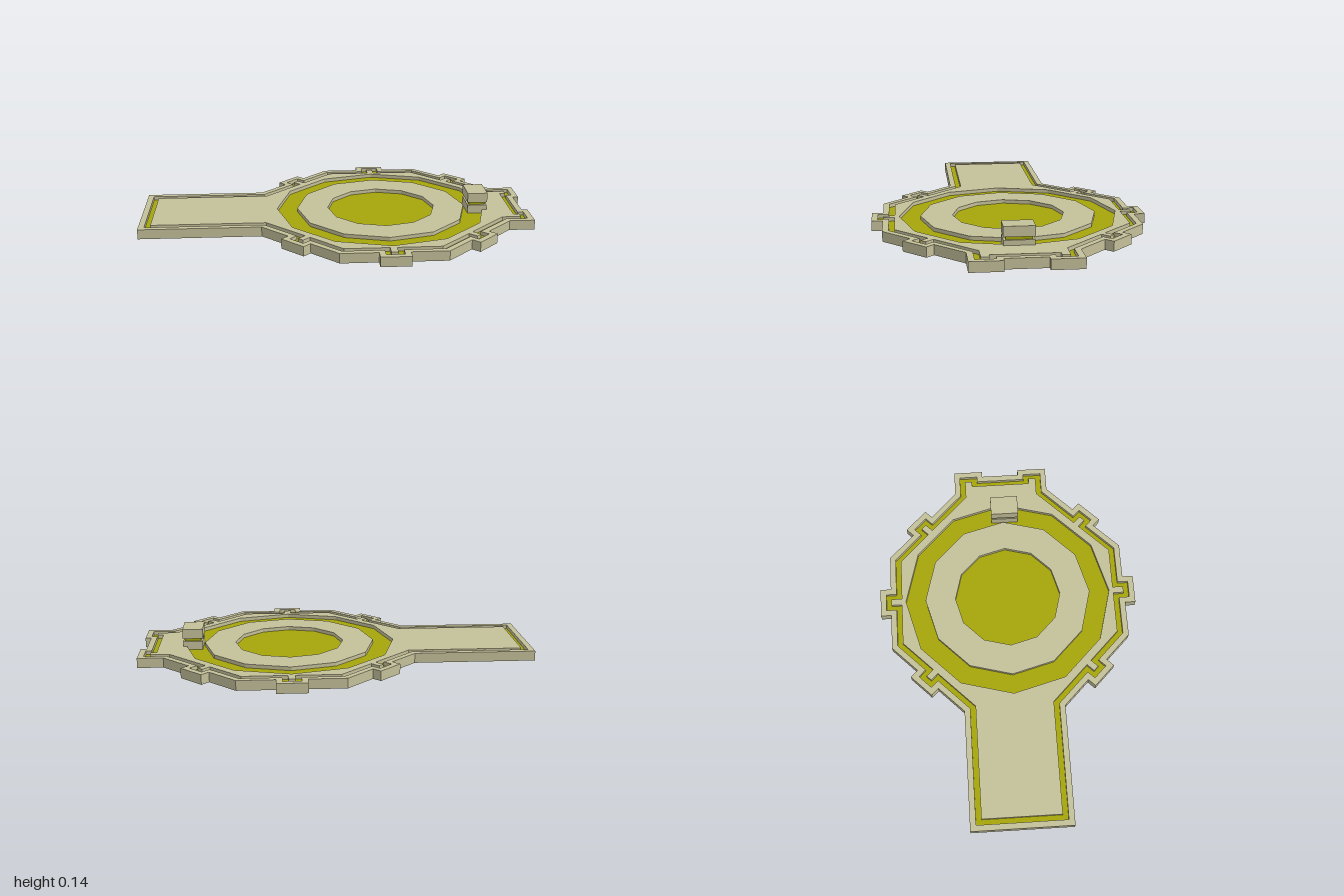
import * as THREE from 'three';

const STONE = new THREE.MeshStandardMaterial({ color: 0xc4c09a, flatShading: true });
const OLIVE = new THREE.MeshStandardMaterial({ color: 0xa6a60a, flatShading: true });
const FLOOR = 0.031, TOP = 0.05, CENTRE = 0.24;

// Back half of the platform edge, from the right end round to the left end
const half = [
  [0.97, 0.1], [1, 0.1], [1, 0.255], [0.87, 0.255],
  [0.735, 0.39], [0.77, 0.425], [0.665, 0.53], [0.63, 0.495],
  [0.5, 0.625], [0.315, 0.625], [0.315, 0.68], [0.165, 0.68], [0.165, 0.625], [-0.02, 0.625],
  [-0.15, 0.495], [-0.185, 0.53], [-0.29, 0.425], [-0.255, 0.39],
  [-0.385, 0.26], [-1, 0.26],
];
const outline = [...half, ...half.map(([x, y]) => [x, -y]).reverse()]
  .map(([x, y]) => new THREE.Vector2(x, y));

// Moves every edge of a counter-clockwise outline inward by d
function inset(points, d) {
  const n = points.length;
  return points.map((p, i) => {
    const a = p.clone().sub(points[(i + n - 1) % n]).normalize();
    const b = points[(i + 1) % n].clone().sub(p).normalize();
    const na = new THREE.Vector2(-a.y, a.x), nb = new THREE.Vector2(-b.y, b.x);
    return p.clone().addScaledVector(na.clone().add(nb), d / (1 + na.dot(nb)));
  });
}

// Twelve-sided ring around the arena centre
function dodecagon(r) {
  return Array.from({ length: 12 }, (_, i) => {
    const t = i * Math.PI / 6;
    return new THREE.Vector2(CENTRE + r * Math.cos(t), r * Math.sin(t));
  });
}

function makeShape(points, hole) {
  const shape = new THREE.Shape(points);
  if (hole) shape.holes.push(new THREE.Path(hole));
  return shape;
}

export function createModel() {
  const group = new THREE.Group();
  const add = (name, geometry, material) => {
    const mesh = new THREE.Mesh(geometry, material);
    mesh.name = name;
    group.add(mesh);
    return mesh;
  };
  const slab = (name, y0, y1, points, hole) => {
    const g = new THREE.ExtrudeGeometry(makeShape(points, hole), { depth: y1 - y0, bevelEnabled: false });
    add(name, g.rotateX(-Math.PI / 2).translate(0, y0, 0), STONE);
  };
  const inlay = (name, points, hole) => {
    const g = new THREE.ShapeGeometry(makeShape(points, hole));
    add(name, g.rotateX(-Math.PI / 2).translate(0, FLOOR, 0), OLIVE);
  };
  const block = (name, w, d, y0, y1, material) => {
    add(name, new THREE.BoxGeometry(w, y1 - y0, d), material).position.set(0.737, (y0 + y1) / 2, 0.01);
  };

  const grooveOuter = inset(outline, 0.03), grooveInner = inset(outline, 0.058);
  const ringOuter = dodecagon(0.545), ringInner = dodecagon(0.44), disc = dodecagon(0.28);

  // Raised stone surfaces over the base
  slab('base', 0, 0.03, outline);
  slab('rim', 0.03, TOP, outline, grooveOuter);
  slab('walkway', 0.03, TOP, grooveInner, ringOuter);
  slab('innerRing', 0.03, TOP, ringInner, disc);

  // Sunken coloured floors
  inlay('borderGroove', grooveOuter, grooveInner);
  inlay('ringGroove', ringOuter, ringInner);
  inlay('centreFloor', disc);

  // Pedestal standing on the right of the ring
  block('pedestalFoot', 0.1, 0.145, FLOOR, 0.075, STONE);
  block('pedestalNeck', 0.083, 0.122, 0.075, 0.09, OLIVE);
  block('pedestalTop', 0.103, 0.147, 0.09, 0.14, STONE);

  return group;
}
